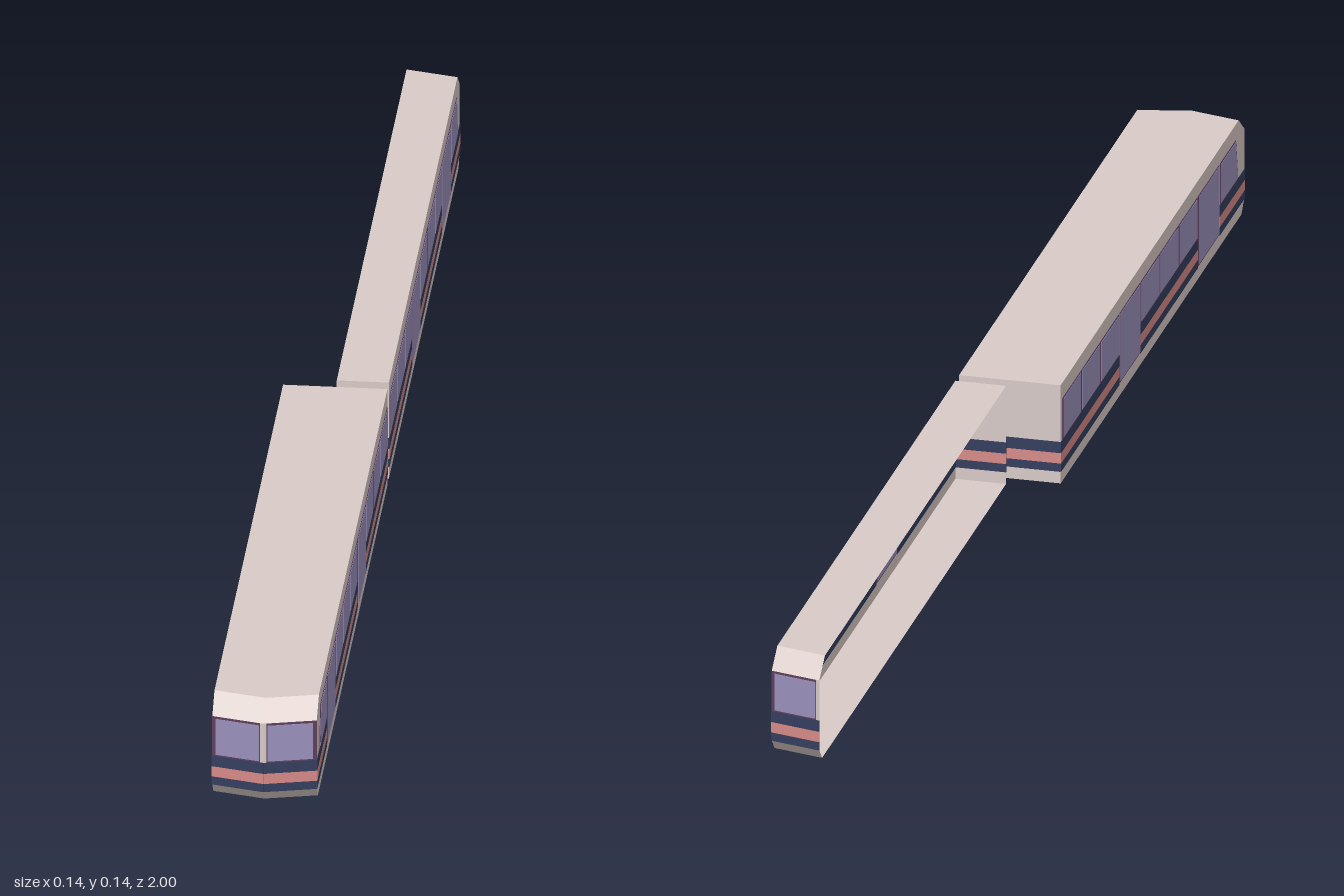
import * as THREE from 'three';

const mat = (name, color, side = THREE.FrontSide) => {
  const m = new THREE.MeshStandardMaterial({ color, side });
  m.name = name;
  return m;
};

export function createModel() {
  const body = mat('warm grey body', 0xd8cac7, THREE.DoubleSide);
  const glass = mat('violet glass', 0x9a90bc);
  const frame = mat('plum frame', 0x5f3f5c);
  const navy = mat('navy stripe', 0x353e5e);
  const pink = mat('pink stripe', 0xd68a87);

  const W = 0.07, END = 0.01, V = 0.017;   // half width, coupling end, nose sweep
  // Nose profile on the centre line: [y, z]
  const profile = [[0, 0.985], [0.017, 1], [0.118, 1], [0.142, 0.97]];
  const bands = [[0.017, 0.029, navy], [0.029, 0.044, pink], [0.044, 0.06, navy]];

  // Half of a carriage shell, open on the centre plane
  function shellGeometry() {
    const pos = [];
    const quad = (a, b, c, d) => pos.push(...a, ...b, ...c, ...a, ...c, ...d);
    const mid = ([y, z]) => [0, y, z], side = ([y, z]) => [W, y, z - V];
    for (let i = 0; i < 3; i++) {
      const p = profile[i], q = profile[i + 1];
      quad(mid(p), side(p), side(q), mid(q));                                // nose
      quad(side(p), [W, p[0], END], [W, q[0], END], side(q));                // side wall
    }
    const lo = profile[0], hi = profile[3];
    quad(mid(hi), side(hi), [W, hi[0], END], [0, hi[0], END]);               // roof
    quad(mid(lo), [0, 0, END], [W, 0, END], side(lo));                       // floor
    quad([0, 0, END], [0, hi[0], END], [W, hi[0], END], [W, 0, END]);        // end wall
    const g = new THREE.BufferGeometry();
    g.setAttribute('position', new THREE.Float32BufferAttribute(pos, 3));
    g.computeVertexNormals();
    return g;
  }

  function halfCar(name) {
    const car = new THREE.Group();
    car.name = name;
    const add = (label, geo, material) => {
      const m = new THREE.Mesh(geo, material);
      m.name = label;
      car.add(m);
      return m;
    };
    // Thin plates set through the wall so they show inside and outside
    const sidePlate = (label, z0, z1, y0, y1, material, t = 0.0016, slant = 0) => {
      const g = new THREE.BoxGeometry(t, y1 - y0, z1 - z0);
      const p = g.attributes.position;
      for (let i = 0; i < p.count; i++)
        if (p.getY(i) > 0 && p.getZ(i) > 0) p.setZ(i, p.getZ(i) - slant);
      add(label, g, material).position.set(W, (y0 + y1) / 2, (z0 + z1) / 2);
    };
    const angle = Math.atan2(V, W);
    const nosePlate = (label, x0, x1, y0, y1, material, t = 0.0016) => {
      const g = new THREE.BoxGeometry((x1 - x0) / Math.cos(angle), y1 - y0, t);
      const m = add(label, g, material), x = (x0 + x1) / 2;
      m.position.set(x, (y0 + y1) / 2, 1 - V * x / W);
      m.rotation.y = angle;
    };

    add('shell', shellGeometry(), body);

    // Stripes along the side, around the nose and across the coupling end
    for (const [y0, y1, m] of bands) {
      for (const [a, b] of [[END, 0.32], [0.43, 0.735], [0.85, 0.983]])
        sidePlate('sideStripe', a, b, y0, y1, m);
      nosePlate('noseStripe', 0, W, y0, y1, m);
      add('endStripe', new THREE.BoxGeometry(W, y1 - y0, 0.0016), m)
        .position.set(W / 2, (y0 + y1) / 2, END);
    }

    // Windscreen with a pale centre pillar
    nosePlate('windscreenFrame', 0.0045, W, 0.06, 0.118, frame);
    nosePlate('windscreen', 0.0055, 0.065, 0.062, 0.115, glass, 0.0026);

    // Two groups of three windows, two doors and the driver's window
    const pane = (label, z0, z1, y0, slant = 0) => {
      sidePlate(label + 'Frame', z0, z1, y0, 0.12, frame, 0.0018, slant);
      sidePlate(label, z0 + 0.0025, z1 - 0.0025, y0 + 0.002, 0.1185, glass, 0.0028, slant);
    };
    for (const start of [0.018, 0.433])
      for (let i = 0; i < 3; i++)
        pane('window', start + i * 0.1, start + i * 0.1 + 0.098, 0.06);
    for (const [a, b] of [[0.32, 0.43], [0.735, 0.85]]) pane('door', a + 0.001, b - 0.001, 0.019);
    pane('driverWindow', 0.853, 0.948, 0.06, 0.012);
    return car;
  }

  const model = new THREE.Group();
  model.name = 'train';
  // Whole front carriage, and a rear carriage that is a single open half
  const right = halfCar('frontCarriageHalf');
  const left = halfCar('frontCarriageMirroredHalf');
  left.scale.x = -1;
  const rear = halfCar('rearOpenCarriage');
  rear.scale.z = -1;
  model.add(right, left, rear);
  return model;
}
